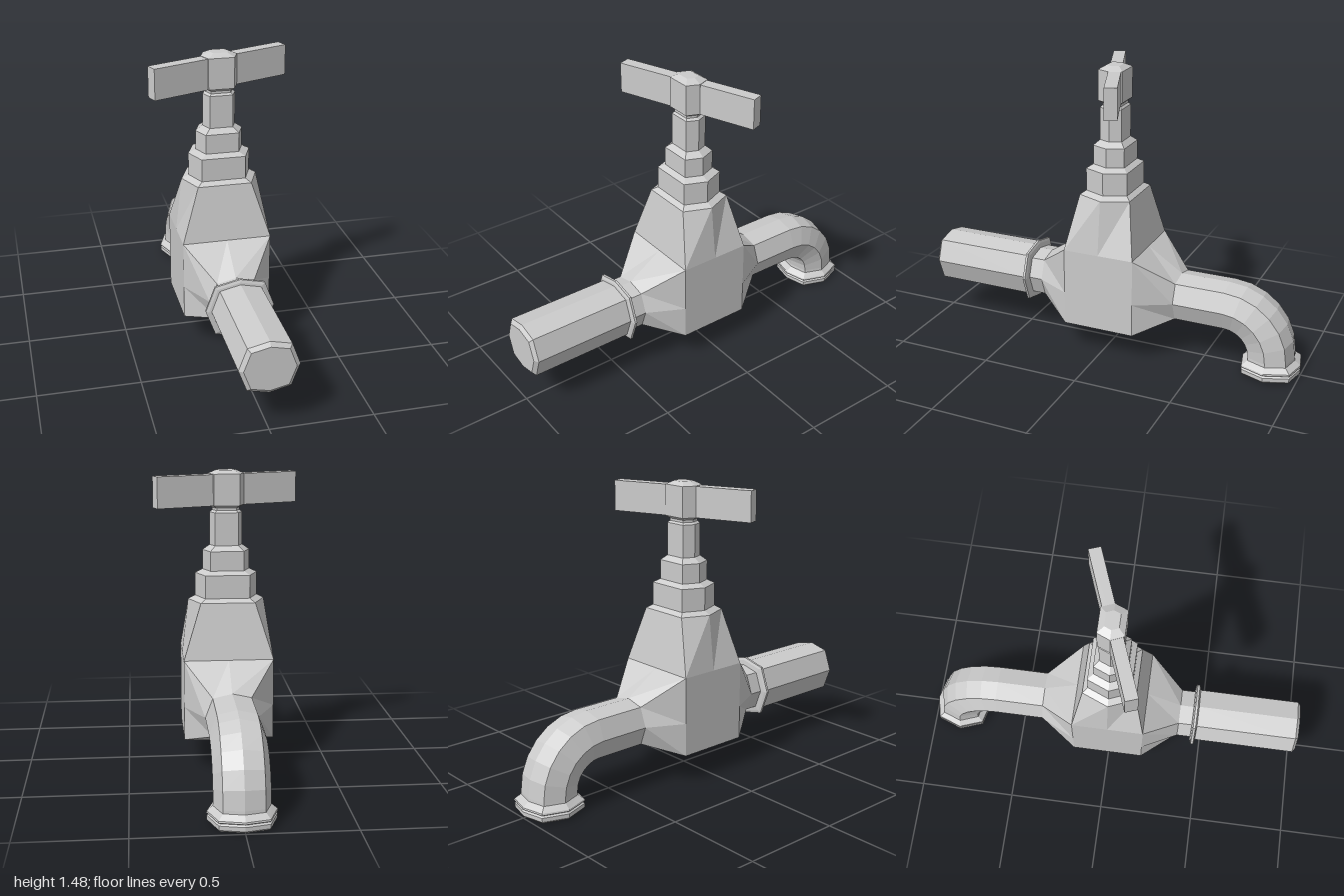
import * as THREE from 'three';

const material = new THREE.MeshStandardMaterial({ color: 0xcccccc, flatShading: true, roughness: 0.7 });

const V = (x, y, z) => new THREE.Vector3(x, y, z);
const AXIS_Y = 0.32; // height of the horizontal pipe axis

// Skin a series of rings; each ring runs counter-clockwise seen from the end of the loft.
function loft(name, rings, capStart = false, capEnd = false) {
  const pos = [];
  const tri = (...pts) => pts.forEach((p) => pos.push(p.x, p.y, p.z));
  const n = rings[0].length;
  for (let k = 0; k < rings.length - 1; k++) {
    const a = rings[k], b = rings[k + 1];
    for (let i = 0; i < n; i++) {
      const j = (i + 1) % n;
      tri(a[i], a[j], b[j]);
      tri(a[i], b[j], b[i]);
    }
  }
  const cap = (ring, flip) => {
    const c = ring.reduce((s, p) => s.add(p), V(0, 0, 0)).divideScalar(n);
    ring.forEach((p, i) => {
      const q = ring[(i + 1) % n];
      flip ? tri(c, q, p) : tri(c, p, q);
    });
  };
  if (capStart) cap(rings[0], true);
  if (capEnd) cap(rings[rings.length - 1], false);
  const geo = new THREE.BufferGeometry();
  geo.setAttribute('position', new THREE.Float32BufferAttribute(pos, 3));
  geo.computeVertexNormals();
  const mesh = new THREE.Mesh(geo, material);
  mesh.name = name;
  return mesh;
}

// Slightly squashed octagon section shared by all the pipes
const OCT = [[1, 0], [0.72, 0.82], [0, 1], [-0.72, 0.82], [-1, 0], [-0.72, -0.82], [0, -1], [0.72, -0.82]];
const octZ = (z, rx, ry) => OCT.map(([u, v]) => V(u * rx, AXIS_Y + v * ry, z));

// Rectangle with side midpoints, matching the octagon point for point
function rectZ(z, hx, bottom, top) {
  return [[1, AXIS_Y], [1, top], [0, top], [-1, top], [-1, AXIS_Y], [-1, bottom], [0, bottom], [1, bottom]]
    .map(([u, y]) => V(u * hx, y, z));
}

// Six-sided section of the upright stem, flat at front and back
const hexY = (y, r) => [45, 90, 135, 225, 270, 315].map((deg) => {
  const a = THREE.MathUtils.degToRad(deg);
  return V(Math.sin(a) * r, y, Math.cos(a) * r);
});

export function createModel() {
  const model = new THREE.Group();
  model.name = 'tap';

  // Box body with tapered shoulders to both pipes
  const hx = 0.222, hz = 0.185, low = 0.15, high = 0.555;
  model.add(loft('body', [
    octZ(-0.365, 0.13, 0.117), rectZ(-hz, hx, low, high),
    rectZ(hz, hx, low, high), octZ(0.365, 0.13, 0.117),
  ]));

  // Upper body narrowing to the stem
  const shoulder = [[1, 1], [1, 0], [1, -1], [-1, -1], [-1, 0], [-1, 1]].map(([x, z]) => V(x * hx, high, z * hz));
  model.add(loft('upperBody', [shoulder, hexY(0.832, 0.19)]));

  // Stepped stem
  const stem = [
    [0.832, 0.19], [0.85, 0.155], [0.965, 0.155], [0.983, 0.117], [1.08, 0.117],
    [1.105, 0.081], [1.268, 0.081], [1.278, 0.068], [1.29, 0.068], [1.303, 0.075],
  ];
  model.add(loft('stem', stem.map(([y, r]) => hexY(y, r))));

  // Handle: hub and crossbar
  const handle = new THREE.Group();
  handle.name = 'handle';
  const hub = [[1.29, 0.068], [1.303, 0.09], [1.457, 0.09], [1.475, 0.048]];
  handle.add(loft('handleHub', hub.map(([y, r]) => hexY(y, r)), true, true));
  const bar = new THREE.Mesh(new THREE.BoxGeometry(0.75, 0.153, 0.062), material);
  bar.name = 'handleBar';
  bar.position.y = 1.3785;
  bar.rotation.y = 0.354;
  handle.add(bar);
  model.add(handle);

  // Inlet pipe with neck, collar and bevelled end
  const inlet = [
    [0.365, 0.13, 0.117], [0.435, 0.13, 0.117], [0.438, 0.155, 0.143], [0.443, 0.17, 0.156],
    [0.455, 0.17, 0.156], [0.461, 0.155, 0.143], [0.463, 0.142, 0.132], [0.984, 0.142, 0.132], [1, 0.122, 0.112],
  ];
  model.add(loft('inletPipe', inlet.map(([z, rx, ry]) => octZ(z, rx, ry)), false, true));

  // Spout: straight run, then a quarter bend downwards
  const bendZ = -0.62, bendR = 0.23, steps = 6;
  const spoutRing = (cy, cz, t, rx, ry) => OCT.map(([u, v]) =>
    V(-u * rx, cy + v * ry * Math.cos(t), cz - v * ry * Math.sin(t)));
  const spout = [spoutRing(AXIS_Y, -0.365, 0, 0.13, 0.117)];
  for (let i = 0; i <= steps; i++) {
    const t = (i / steps) * Math.PI / 2;
    spout.push(spoutRing(AXIS_Y - bendR * (1 - Math.cos(t)), bendZ - bendR * Math.sin(t), t, 0.13, 0.117));
  }
  model.add(loft('spout', spout));

  // Grooved rim of the spout
  const rim = [
    [0.09, 0.13, 0.117], [0.075, 0.131, 0.118], [0.052, 0.158, 0.148], [0.044, 0.16, 0.15],
    [0.037, 0.148, 0.138], [0.03, 0.158, 0.148], [0.01, 0.158, 0.148], [0, 0.148, 0.138],
  ];
  model.add(loft('spoutRim',
    rim.map(([y, rx, rz]) => spoutRing(y, bendZ - bendR, Math.PI / 2, rx, rz)), false, true));

  return model;
}
